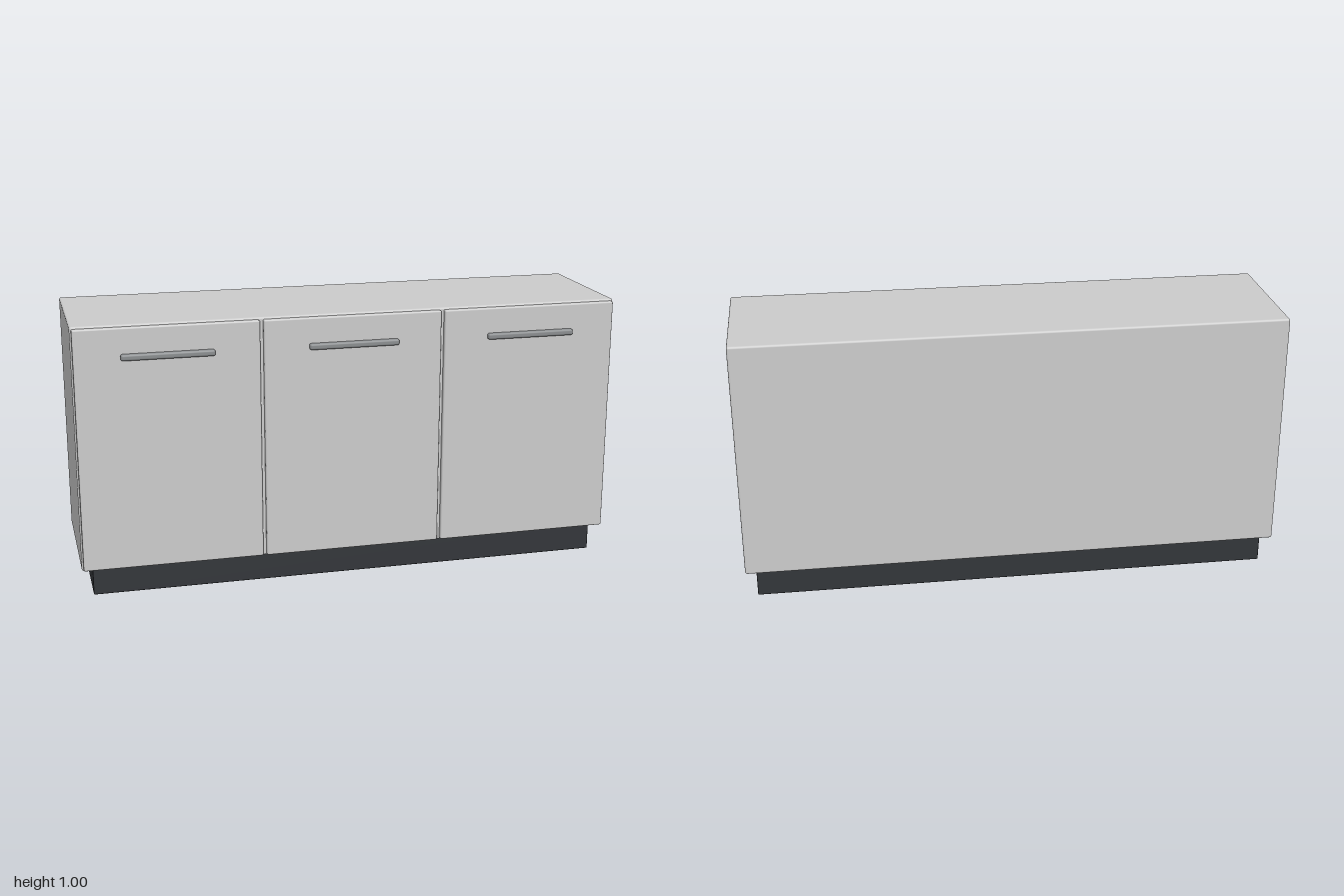
import * as THREE from 'three';
import { RoundedBoxGeometry } from 'three/addons/geometries/RoundedBoxGeometry.js';

const grey = new THREE.MeshStandardMaterial({ color: 0xcccccc });
const handleGrey = new THREE.MeshStandardMaterial({ color: 0x8a8d8f });
const dark = new THREE.MeshStandardMaterial({ color: 0x33363a });

// Soft-edged box given by its minimum and maximum corners
function block(name, min, max, radius, material, segments = 2) {
  const size = max.map((v, i) => v - min[i]);
  const mesh = new THREE.Mesh(new RoundedBoxGeometry(...size, segments, radius), material);
  mesh.position.set(...max.map((v, i) => (v + min[i]) / 2));
  mesh.name = name;
  return mesh;
}

export function createModel() {
  const model = new THREE.Group();
  model.name = 'sideboard';

  // Recessed base and cabinet body
  model.add(block('plinth', [-0.96, 0, -0.255], [0.96, 0.115, 0.22], 0.004, dark));
  model.add(block('cabinetBody', [-1, 0.105, -0.28], [1, 1, 0.245], 0.008, grey));

  // Three doors, each with a bar handle near its top edge
  ['rightDoor', 'middleDoor', 'leftDoor'].forEach((name, i) => {
    const x = (i - 1) * 0.667;
    const door = new THREE.Group();
    door.name = name;
    door.add(block('doorPanel', [x - 0.327, 0.11, 0.24], [x + 0.327, 0.993, 0.263], 0.006, grey));
    door.add(block('handle', [x - 0.165, 0.878, 0.258], [x + 0.165, 0.901, 0.281], 0.008, handleGrey, 3));
    model.add(door);
  });

  return model;
}
